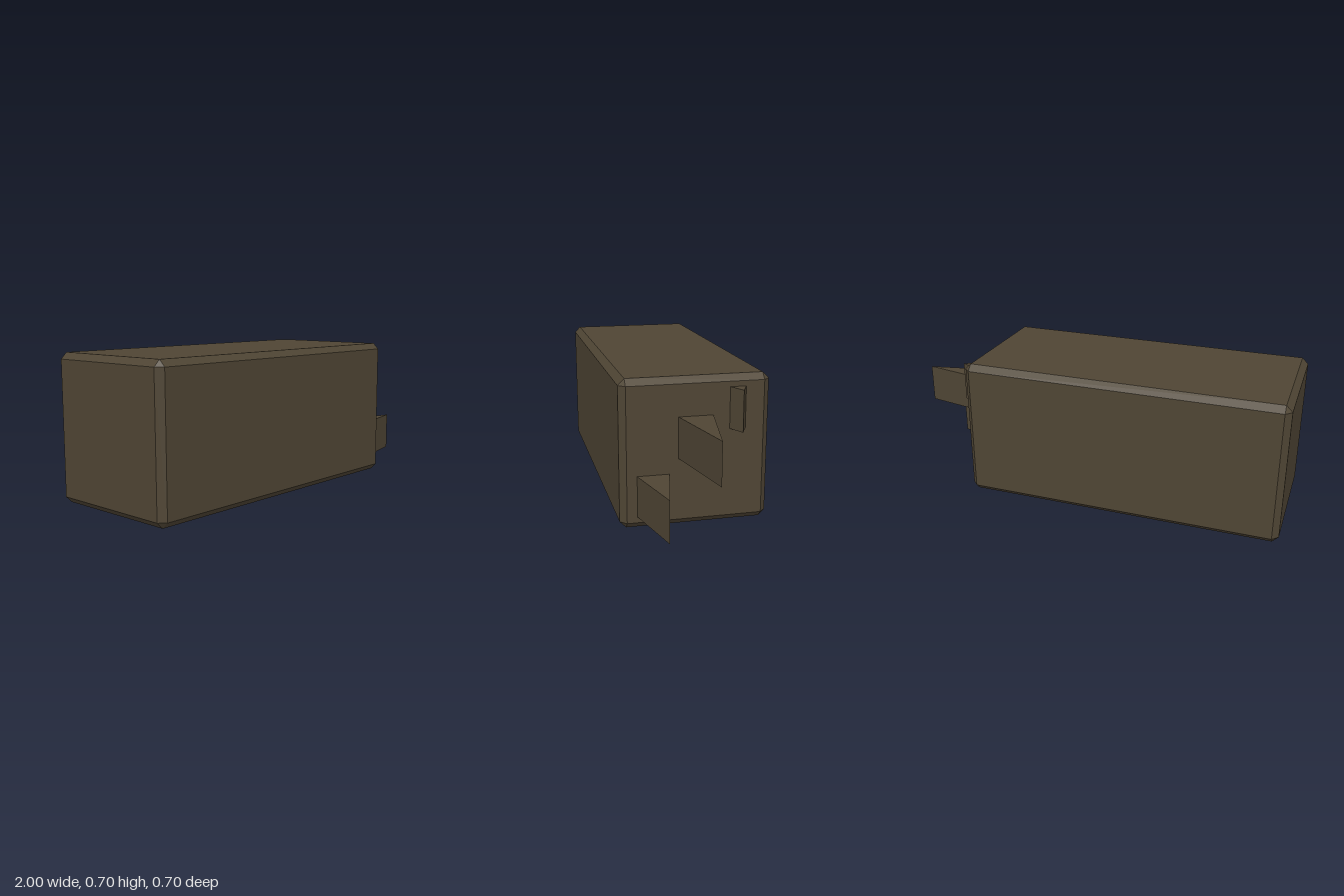
import * as THREE from 'three';
import { ConvexGeometry } from 'three/addons/geometries/ConvexGeometry.js';

// Box with every edge and corner cut by a flat chamfer
function chamferedBox(w, h, d, c) {
  const points = [];
  for (const sx of [-1, 1]) for (const sy of [-1, 1]) for (const sz of [-1, 1]) {
    const [x, y, z] = [w / 2, h / 2, d / 2];
    points.push(
      new THREE.Vector3(sx * x, sy * (y - c), sz * (z - c)),
      new THREE.Vector3(sx * (x - c), sy * y, sz * (z - c)),
      new THREE.Vector3(sx * (x - c), sy * (y - c), sz * z)
    );
  }
  return new ConvexGeometry(points);
}

// Upright wedge: triangle in plan, pointing to +x
function wedge(length, height, width) {
  const plan = new THREE.Shape([
    new THREE.Vector2(0, -width / 2),
    new THREE.Vector2(length, 0),
    new THREE.Vector2(0, width / 2)
  ]);
  return new THREE.ExtrudeGeometry(plan, { depth: height, bevelEnabled: false })
    .rotateX(-Math.PI / 2);
}

export function createModel() {
  const model = new THREE.Group();
  model.name = 'spikedBlock';

  const darkBrown = new THREE.MeshStandardMaterial({ color: 0x4f4534, flatShading: true });
  darkBrown.name = 'darkBrown';

  // Main block
  const block = new THREE.Mesh(chamferedBox(1.6, 0.7, 0.7, 0.03), darkBrown);
  block.name = 'block';
  block.position.set(-0.2, 0.35, 0);
  model.add(block);

  // Blades on the +x end
  const blades = [
    { name: 'upperBlade', length: 0.08, width: 0.075, y: 0.45, z: -0.196 },
    { name: 'middleBlade', length: 0.4, width: 0.162, y: 0.324, z: 0 },
    { name: 'lowerBlade', length: 0.32, width: 0.15, y: 0.058, z: 0.197 }
  ];
  for (const { name, length, width, y, z } of blades) {
    const blade = new THREE.Mesh(wedge(length, 0.195, width), darkBrown);
    blade.name = name;
    blade.position.set(0.6, y, z);
    model.add(blade);
  }

  return model;
}
